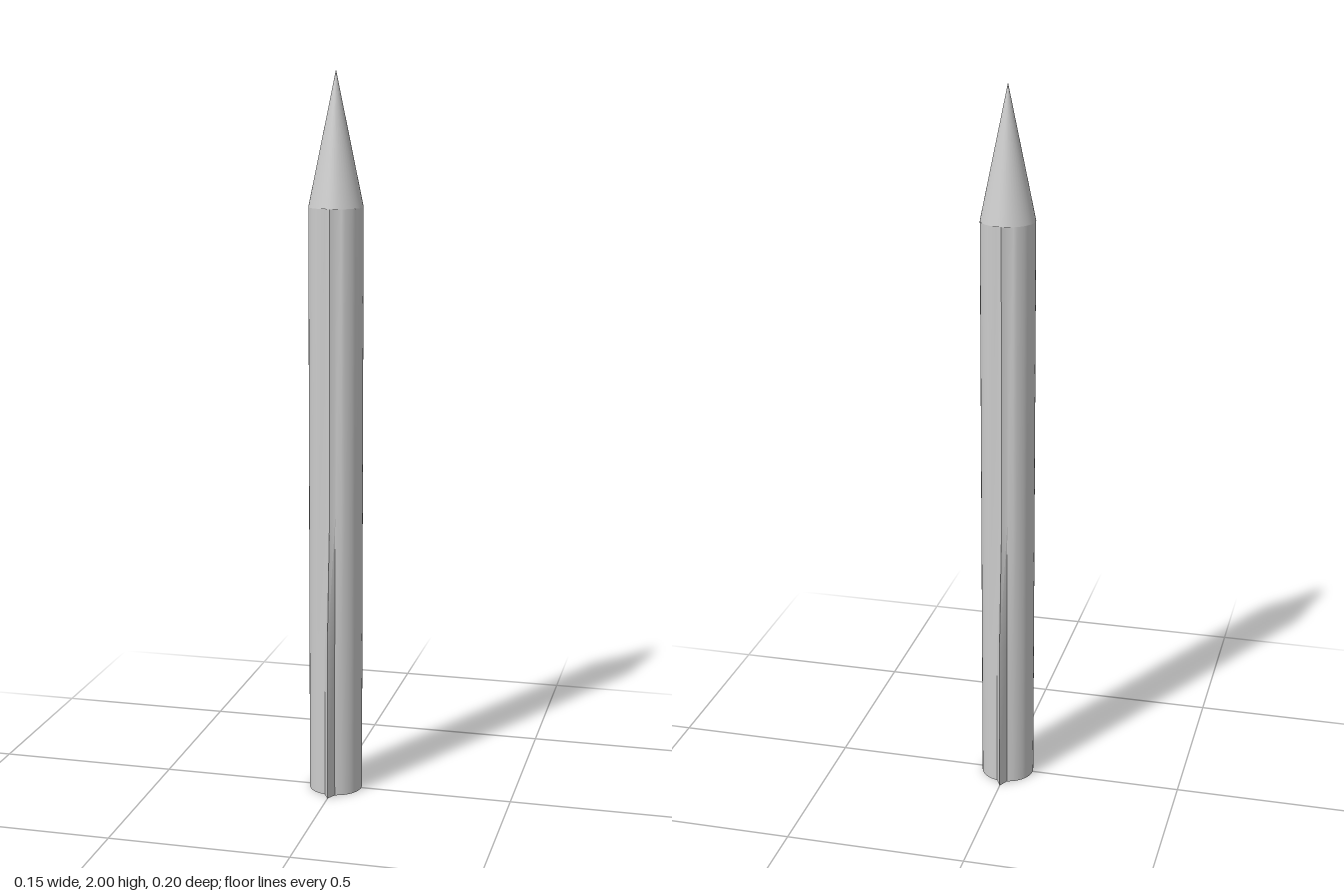
import * as THREE from 'three';
import { toCreasedNormals } from 'three/addons/utils/BufferGeometryUtils.js';

const R = 0.074;        // shaft radius
const SHOULDER = 1.64;  // height where the point begins

// Half of the shaft outline, from the front ridge round to just before the back ridge
function halfSection(tip, valley) {
  const pts = [[0, tip], [0.0143, valley]];
  const a0 = THREE.MathUtils.degToRad(25), steps = 16;
  for (let i = 0; i <= steps; i++) {
    const a = a0 + (Math.PI - 2 * a0) * i / steps;
    pts.push([R * Math.sin(a), R * Math.cos(a)]);
  }
  pts.push([0.0143, -valley]);
  return pts;
}

// Full outline: the half turned by 180 degrees completes it
function section(y, tip, valley) {
  const half = halfSection(tip, valley);
  return [...half, ...half.map(([x, z]) => [-x, -z])].map(([x, z]) => [x, y, z]);
}

function shaftGeometry() {
  // Ridges stand proud at the foot and sink into the shaft higher up
  const rings = [
    section(0, 0.1, 0.0725),
    section(0.43, 0.1, 0.0725),
    section(0.8, R, 0.066),
    section(SHOULDER, R, 0.066),
  ];
  const n = rings[0].length, pos = [];
  const tri = (...corners) => corners.forEach((c) => pos.push(...c));
  for (let i = 0; i < n; i++) {
    const j = (i + 1) % n;
    for (let k = 0; k < rings.length - 1; k++) {
      const a = rings[k], b = rings[k + 1];
      tri(a[i], a[j], b[j]);
      tri(a[i], b[j], b[i]);
    }
    tri([0, 0, 0], rings[0][j], rings[0][i]); // flat foot
  }
  const geo = new THREE.BufferGeometry();
  geo.setAttribute('position', new THREE.Float32BufferAttribute(pos, 3));
  return toCreasedNormals(geo, 0.6);
}

export function createModel() {
  const group = new THREE.Group();
  group.name = 'pointedStake';
  const material = new THREE.MeshStandardMaterial({ color: 0xcccccc });

  // Shaft with front and back ridges
  const shaft = new THREE.Mesh(shaftGeometry(), material);
  shaft.name = 'ridgedShaft';

  // Conical point
  const height = 2 - SHOULDER;
  const point = new THREE.Mesh(new THREE.ConeGeometry(R, height, 48), material);
  point.name = 'conicalPoint';
  point.position.y = SHOULDER + height / 2;

  group.add(shaft, point);
  return group;
}
